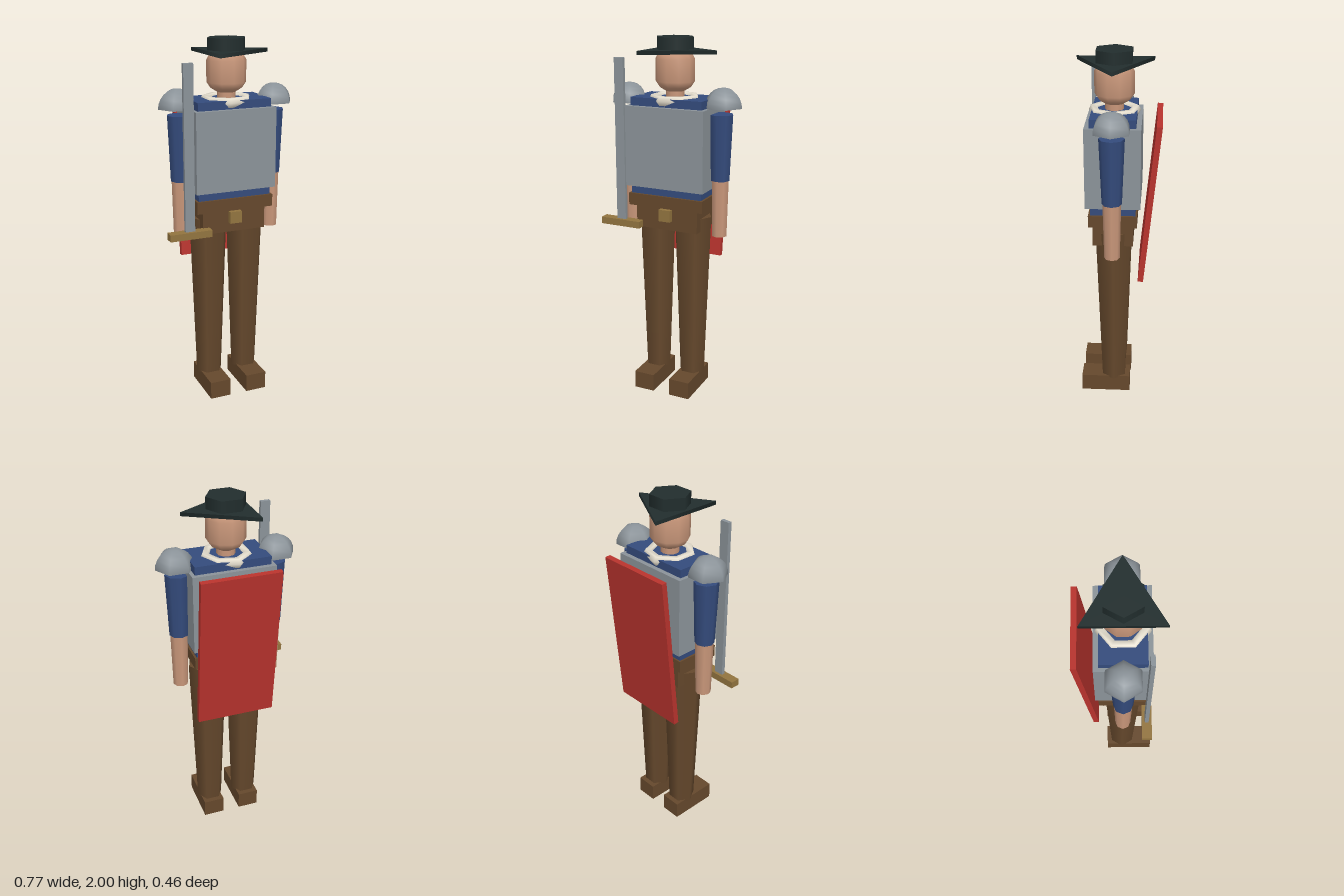
import * as THREE from 'three';

const mat = (name, color) => {
  const m = new THREE.MeshStandardMaterial({ color });
  m.name = name;
  return m;
};

export function createModel() {
  const model = new THREE.Group();
  model.name = 'soldier';
  const brown = mat('brown leather', 0x65482c);
  const blue = mat('blue cloth', 0x344b7c);
  const steel = mat('steel', 0x8b9399);
  const skin = mat('skin', 0xc9977a);
  const felt = mat('dark felt', 0x222e2e);
  const red = mat('red shield', 0xb8332d);
  const brass = mat('brass', 0x92743f);
  const cream = mat('cream cloth', 0xe6dfcf);
  steel.side = THREE.DoubleSide; // pauldrons are open underneath
  const Z = 0.026; // depth of the body axis

  const add = (name, geometry, material, x = 0, y = 0, z = Z) => {
    const mesh = new THREE.Mesh(geometry, material);
    mesh.name = name;
    mesh.position.set(x, y, z);
    model.add(mesh);
    return mesh;
  };
  // Box given by its limits on each axis
  const box = (name, material, [x0, x1], [y0, y1], [z0, z1]) =>
    add(name, new THREE.BoxGeometry(x1 - x0, y1 - y0, z1 - z0), material,
      (x0 + x1) / 2, (y0 + y1) / 2, (z0 + z1) / 2);
  // Upright tapered cylinder between two heights
  const post = (name, material, x, y0, y1, r0, r1, sides) =>
    add(name, new THREE.CylinderGeometry(r1, r0, y1 - y0, sides), material, x, (y0 + y1) / 2);

  // Torso
  box('tunic', blue, [-0.208, 0.208], [1.15, 1.686], [-0.095, 0.145]);
  box('breastplate', steel, [-0.228, 0.228], [1.205, 1.642], [-0.121, 0.172]);
  box('belt', brown, [-0.22, 0.22], [1.093, 1.16], [-0.104, 0.157]);
  box('hips', brown, [-0.182, 0.182], [0.968, 1.093], [-0.082, 0.137]);
  box('buckle', brass, [-0.034, 0.034], [1.022, 1.087], [0.13, 0.167]);

  // Neck, collar and head
  post('neck', skin, 0, 1.64, 1.76, 0.05, 0.05, 10);
  add('collar', new THREE.TorusGeometry(0.114, 0.028, 6, 7), cream, 0, 1.674)
    .rotation.x = Math.PI / 2;
  const headProfile = [[0, 1.71], [0.052, 1.718], [0.085, 1.738], [0.106, 1.77],
    [0.106, 1.885], [0.085, 1.922], [0, 1.93]].map(([r, y]) => new THREE.Vector2(r, y));
  add('head', new THREE.LatheGeometry(headProfile, 10), skin);

  // Hat with a three-cornered brim
  post('hatBrim', felt, 0, 1.916, 1.936, 0.239, 0.239, 3).rotation.y = Math.PI / 2;
  post('hatCrown', felt, 0, 1.93, 2, 0.108, 0.108, 6).rotation.y = Math.PI / 2;

  // Limbs, mirrored
  for (const [s, side] of [[1, 'left'], [-1, 'right']]) {
    add(side + 'Pauldron', new THREE.SphereGeometry(0.104, 6, 6, 0, Math.PI * 2, 0, Math.PI / 2),
      steel, s * 0.279, 1.645);
    post(side + 'Sleeve', blue, s * 0.268, 1.255, 1.61, 0.053, 0.067, 8);
    post(side + 'Forearm', skin, s * 0.268, 0.942, 1.255, 0.042, 0.049, 8);
    post(side + 'Leg', brown, s * 0.109, 0.09, 1.04, 0.075, 0.11, 6).rotation.y = Math.PI / 2;
    const x = s * 0.11;
    box(side + 'Boot', brown, [x - 0.06, x + 0.06], [0, 0.1], [-0.068, 0.212]);
  }

  // Sword held upright beside the right hand
  box('swordBlade', steel, [-0.292, -0.238], [1.005, 1.892], [0.146, 0.167]);
  box('swordGuard', brass, [-0.383, -0.145], [0.968, 1.006], [0.13, 0.184]);

  // Tilted shield on the back
  add('shield', new THREE.BoxGeometry(0.437, 0.89, 0.03), red, 0, 1.213, -0.17)
    .rotation.x = -0.1;

  return model;
}
